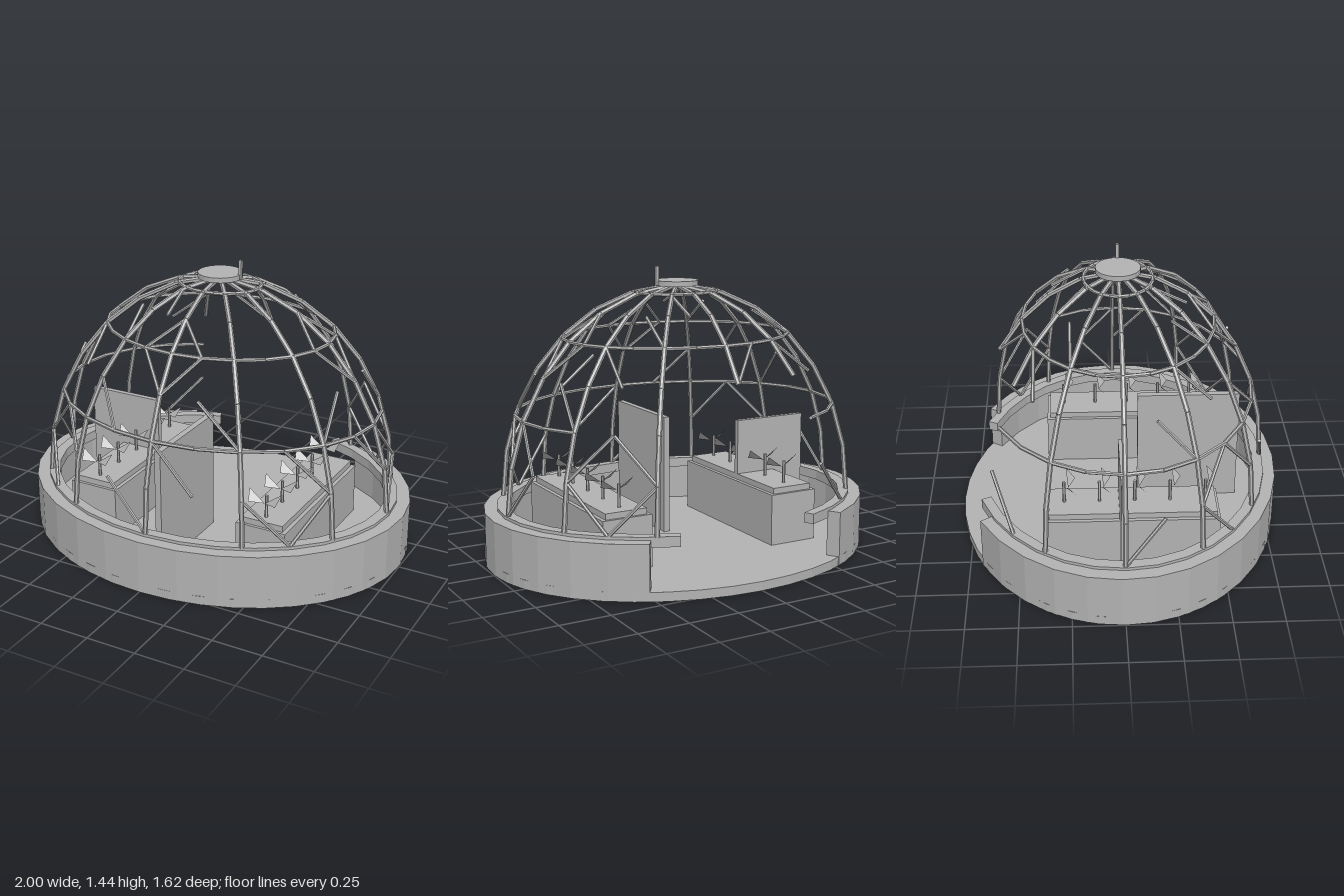
import * as THREE from 'three';

const stone = new THREE.MeshStandardMaterial({ color: 0xb2b2b2, flatShading: true });
stone.name = 'grey';
const leafMat = new THREE.MeshStandardMaterial({ color: 0xb2b2b2, side: THREE.DoubleSide, flatShading: true });
leafMat.name = 'leaf grey';

function add(parent, name, geometry, x = 0, y = 0, z = 0, material = stone) {
  const mesh = new THREE.Mesh(geometry, material);
  mesh.name = name;
  mesh.position.set(x, y, z);
  parent.add(mesh);
  return mesh;
}

function addBox(parent, name, x0, x1, y0, y1, z0, z1) {
  return add(parent, name, new THREE.BoxGeometry(x1 - x0, y1 - y0, z1 - z0),
    (x0 + x1) / 2, (y0 + y1) / 2, (z0 + z1) / 2);
}

// round bar between two points
function addBar(parent, name, a, b, radius) {
  const dir = b.clone().sub(a);
  const mesh = add(parent, name, new THREE.CylinderGeometry(radius, radius, dir.length(), 6));
  mesh.position.copy(a).add(b).multiplyScalar(0.5);
  mesh.quaternion.setFromUnitVectors(new THREE.Vector3(0, 1, 0), dir.normalize());
}

// elliptical band that leaves a gap of +-gap degrees from the back
function openBand(outer, inner, y0, y1, gap, steps) {
  const points = [];
  const from = 90 + gap, to = 450 - gap;
  const at = (s, k) => {
    const t = THREE.MathUtils.degToRad(from + (to - from) * k / steps);
    return new THREE.Vector2(s[0] * Math.cos(t), s[1] * Math.sin(t));
  };
  for (let k = 0; k <= steps; k++) points.push(at(outer, k));
  for (let k = steps; k >= 0; k--) points.push(at(inner, k));
  const geo = new THREE.ExtrudeGeometry(new THREE.Shape(points), { depth: y1 - y0, bevelEnabled: false });
  return geo.rotateX(-Math.PI / 2).translate(0, y0, 0);
}

// dome lattice node: a counts 15 degree steps from +x towards the front, i counts levels
function node(a, i) {
  const t = THREE.MathUtils.degToRad(12.6 * i);
  const p = a * Math.PI / 12;
  return new THREE.Vector3(0.92 * Math.cos(t) * Math.cos(p), 0.28 + 1.06 * Math.sin(t),
    0.74 * Math.cos(t) * Math.sin(p));
}

// surviving diagonal bars: from node (a, i) to node (a, i)
const lowerStruts = [
  [7, 1, 6, 0], [6, 2, 5, 1], [5, 3, 4, 2], [8, 3, 7, 2], [10, 1, 9, 0], [10, 1, 9, 2],
  [3, 0, 4, 1], [3, 2, 2, 1], [2, 1, 3, 0], [9, 2, 8, 1], [21, 2, 22, 1], [22, 1, 21, 0],
  [21, 2, 20, 1], [20, 1, 21, 0], [15, 0, 16, 1], [11, 1, 12, 0], [11, 3, 10, 2], [1, 2, 0, 1],
  [23, 3, 22, 2], [1, 3, 2, 2], [0, 2, 23, 1], [23, 1, 0, 0],
];
const upperStruts = [
  [6, 3, 5, 4], [6, 3, 7, 4], [5, 4, 6, 5], [7, 4, 6, 5], [0, 3, 1, 4], [0, 3, 23, 4],
  [1, 4, 0, 5], [23, 4, 0, 5], [20, 4, 21, 5], [21, 3, 22, 4], [15, 3, 16, 4], [14, 4, 15, 5],
  [8, 4, 9, 5], [9, 3, 10, 4], [19, 5, 20, 6], [7, 5, 8, 6], [18, 3, 17, 4],
];

function buildDome() {
  const dome = new THREE.Group();
  dome.name = 'domeFrame';
  // twelve ribs, two of them broken off over the entrance
  for (let a = 0; a < 24; a += 2) {
    const start = a === 16 || a === 18 ? 3 : 0;
    for (let i = start; i < 7; i++) addBar(dome, 'rib', node(a, i), node(a, i + 1), 0.0125);
  }
  // hoops; the lowest is missing over the entrance
  for (let a = 0; a < 24; a++) {
    if (a < 16 || a >= 22) addBar(dome, 'lowerHoop', node(a, 2), node(a + 1, 2), 0.01);
    addBar(dome, 'middleHoop', node(a, 4), node(a + 1, 4), 0.01);
    addBar(dome, 'upperHoop', node(a, 6.1), node(a + 1, 6.1), 0.01);
  }
  for (const [a, i, b, j] of [...lowerStruts, ...upperStruts]) {
    addBar(dome, 'diagonalStrut', node(a, i), node(b, j), 0.009);
  }
  // cap and vent post
  add(dome, 'cap', new THREE.CylinderGeometry(0.11, 0.11, 0.025, 24), 0, 1.355, 0);
  addBox(dome, 'ventPost', 0.103, 0.119, 1.345, 1.44, -0.008, 0.008);
  return dome;
}

// seedling: thin stem with two raised triangular leaves
const leafGeometry = new THREE.BufferGeometry();
leafGeometry.setAttribute('position', new THREE.Float32BufferAttribute([
  0, 0.415, 0.02, 0.085, 0.475, 0.01, 0.07, 0.425, 0.055,
  0, 0.415, 0.02, -0.07, 0.425, 0.055, -0.085, 0.475, 0.01,
], 3));
leafGeometry.computeVertexNormals();

function buildBed(side) {
  const bed = new THREE.Group();
  bed.name = side > 0 ? 'leftBed' : 'rightBed';
  bed.position.x = side * 0.47;
  addBox(bed, 'bedBox', -0.13, 0.13, 0.045, 0.305, -0.37, 0.475);
  addBox(bed, 'bedSoil', -0.11, 0.11, 0.305, 0.335, -0.355, 0.46);
  for (let k = 0; k < 5; k++) {
    const z = -0.28 + k * 0.172;
    add(bed, 'stem', new THREE.CylinderGeometry(0.008, 0.008, 0.115, 6), 0, 0.392, z);
    add(bed, 'leaves', leafGeometry, 0, 0, z, leafMat);
  }
  return bed;
}

export function createModel() {
  const model = new THREE.Group();
  model.name = 'ruinedGreenhouse';

  // floor and low wall, open at the back
  const floor = add(model, 'floor', new THREE.CylinderGeometry(0.998, 0.998, 0.045, 40), 0, 0.0225, 0);
  floor.scale.z = 0.81;
  add(model, 'lowWall', openBand([1, 0.81], [0.93, 0.745], 0.002, 0.27, 31.7, 26));
  add(model, 'sill', openBand([0.935, 0.75], [0.88, 0.7], 0.235, 0.285, 23, 28));

  model.add(buildDome(), buildBed(1), buildBed(-1));

  // standing partitions
  addBox(model, 'sidePartition', -0.76, -0.36, 0.045, 0.62, -0.014, 0.014);
  addBox(model, 'middlePartition', -0.016, 0.016, 0.045, 0.655, 0.1, 0.62);
  return model;
}
